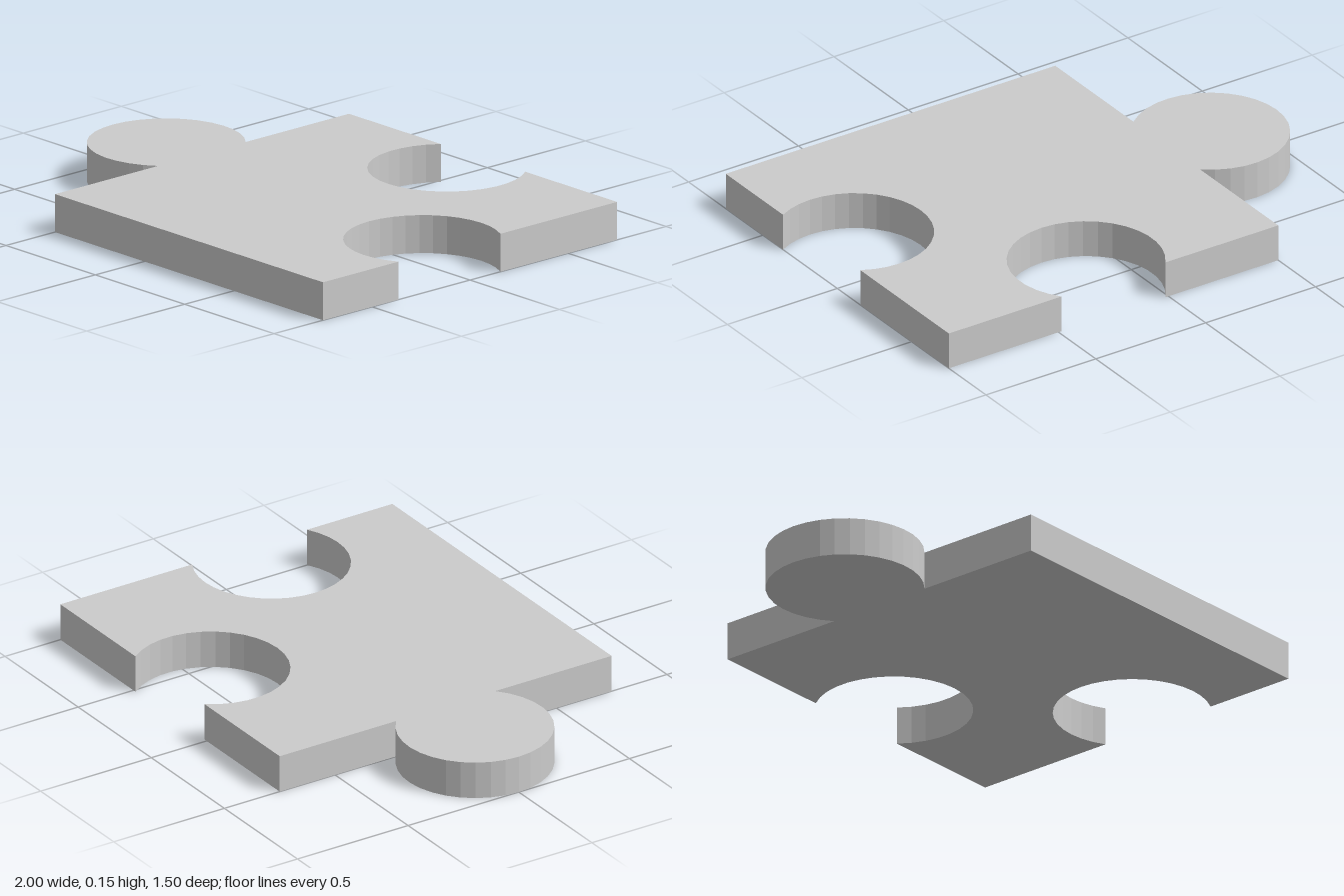
import * as THREE from 'three';

const RADIUS = 0.3;
const THICKNESS = 0.15;

export function createModel() {
  const group = new THREE.Group();
  group.name = 'puzzlePiece';

  // Outline drawn counter-clockwise in plan, with shape y = -z
  const outline = new THREE.Shape();
  outline.moveTo(-0.5, -0.75);
  outline.lineTo(1, -0.75);

  // Round socket in the left (+x) edge
  const side = Math.acos((1 - 0.85) / RADIUS);
  outline.absarc(0.85, -0.105, RADIUS, -side, side - 2 * Math.PI, true);
  outline.lineTo(1, 0.75);

  // Round socket in the back edge
  const back = Math.asin((0.75 - 0.565) / RADIUS);
  outline.absarc(0.25, 0.565, RADIUS, back, -Math.PI - back, true);
  outline.lineTo(-0.5, 0.75);

  // Round knob on the right (-x) edge
  const knob = Math.acos((0.7 - 0.5) / RADIUS);
  outline.absarc(-0.7, 0, RADIUS, knob, 2 * Math.PI - knob, false);
  outline.closePath();

  // Flat slab standing on the ground
  const geometry = new THREE.ExtrudeGeometry(outline, {
    depth: THICKNESS,
    bevelEnabled: false,
    curveSegments: 12,
  });
  geometry.rotateX(-Math.PI / 2);

  const material = new THREE.MeshStandardMaterial({ color: 0xcccccc, flatShading: true });
  const piece = new THREE.Mesh(geometry, material);
  piece.name = 'pieceBody';
  group.add(piece);
  return group;
}
